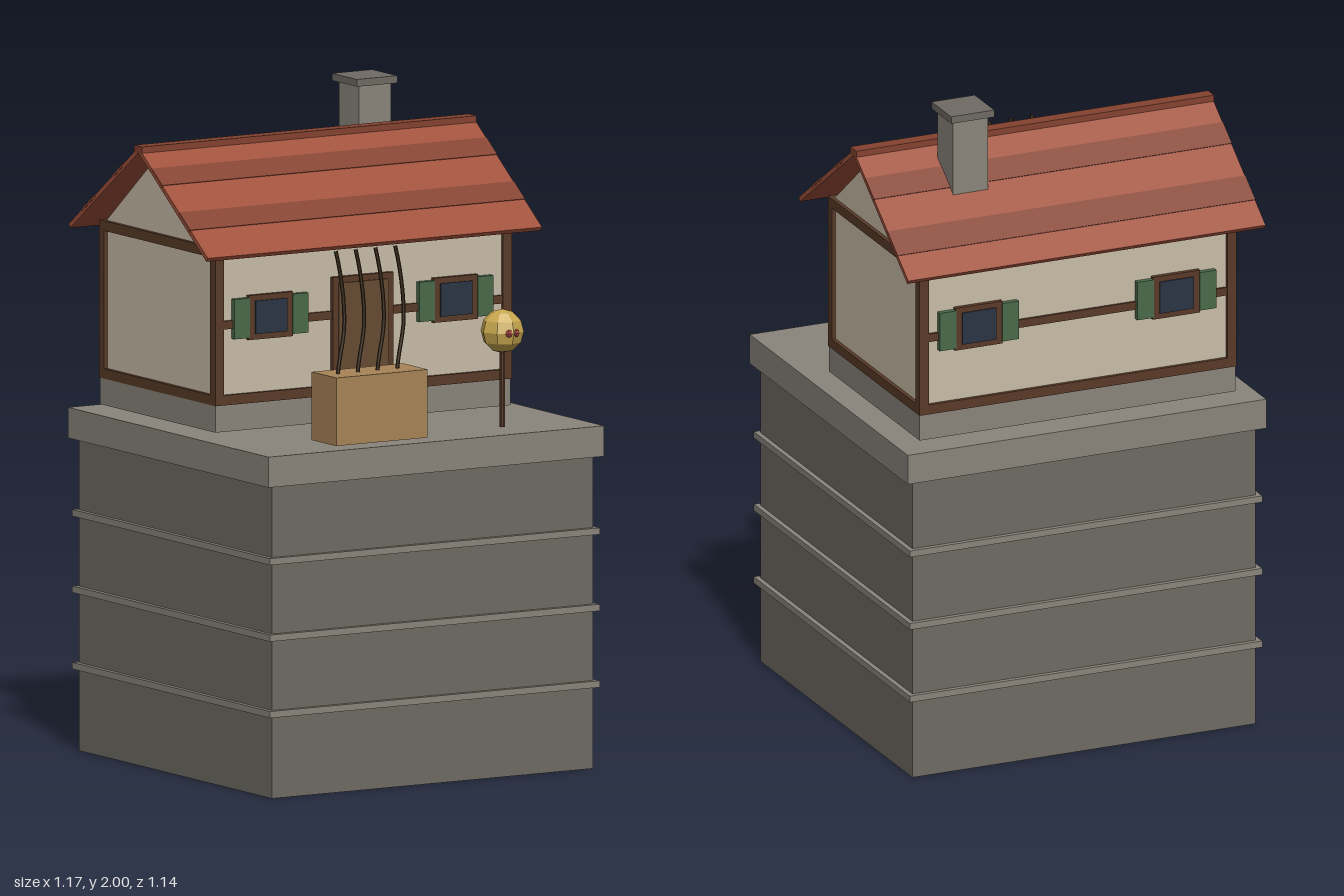
import * as THREE from 'three';

const mats = {};
const mat = (c) => (mats[c] ??= new THREE.MeshStandardMaterial({ color: c, flatShading: true }));

const STONE = 0x6f6b64, TRIM = 0x8a857c, BEAM = 0x5a3a28, WALL = 0xc8bda8, DOOR = 0x664a32;
const TILE = 0xa0503a, TILE_DARK = 0x84422f, GREEN = 0x4a6a4a, GLASS = 0x2c3444;
const CRATE = 0xa88458, GOLD = 0xc8a850, RED = 0xb04a40, STICK = 0x40301f;

export function createModel() {
  const model = new THREE.Group();

  const add = (parent, name, geometry, color) => {
    const m = new THREE.Mesh(geometry, mat(color));
    m.name = name;
    parent.add(m);
    return m;
  };
  // Box given by its lower and upper limits on each axis
  const box = (parent, name, color, x0, x1, y0, y1, z0, z1) => {
    const m = add(parent, name, new THREE.BoxGeometry(x1 - x0, y1 - y0, z1 - z0), color);
    m.position.set((x0 + x1) / 2, (y0 + y1) / 2, (z0 + z1) / 2);
    return m;
  };
  const group = (parent, name) => {
    const g = new THREE.Group();
    g.name = name;
    parent.add(g);
    return g;
  };

  // Stone tower with three bands and a top slab
  const tower = group(model, 'tower');
  box(tower, 'towerBody', STONE, -0.56, 0.56, 0, 0.945, -0.548, 0.548);
  for (const y of [0.255, 0.485, 0.715])
    box(tower, 'towerBand', TRIM, -0.575, 0.575, y - 0.01, y + 0.01, -0.563, 0.563);
  box(tower, 'towerSlab', TRIM, -0.585, 0.585, 0.94, 1.032, -0.57, 0.57);

  // House, centred on its own ridge line
  const house = group(model, 'house');
  house.position.z = -0.174;
  box(house, 'plinth', TRIM, -0.515, 0.515, 1.045, 1.14, -0.327, 0.327);
  box(house, 'walls', WALL, -0.505, 0.505, 1.13, 1.595, -0.32, 0.32);

  // Gable prism running under the roof
  const tri = new THREE.Shape([
    new THREE.Vector2(-0.32, 1.59), new THREE.Vector2(0.32, 1.59), new THREE.Vector2(0, 1.845),
  ]);
  const gable = add(house, 'gable',
    new THREE.ExtrudeGeometry(tri, { depth: 1.01, bevelEnabled: false }), WALL);
  gable.rotation.y = Math.PI / 2;
  gable.position.x = -0.505;

  // Timber frame
  const frame = group(house, 'timberFrame');
  for (const s of [-1, 1]) {
    for (const t of [-1, 1]) {
      const post = box(frame, 'cornerPost', BEAM, -0.015, 0.015, 1.125, 1.6, -0.015, 0.015);
      post.position.x = s * 0.502;
      post.position.z = t * 0.316;
    }
    for (const [y0, y1] of [[1.125, 1.155], [1.57, 1.6]]) {
      box(frame, 'longBeam', BEAM, -0.515, 0.515, y0, y1, s * 0.316 - 0.015, s * 0.316 + 0.015);
      box(frame, 'sideBeam', BEAM, s * 0.502 - 0.015, s * 0.502 + 0.015, y0, y1, -0.33, 0.33);
    }
    box(frame, 'middleBeam', BEAM, -0.505, 0.505, 1.353, 1.378, s * 0.316 - 0.012, s * 0.316 + 0.012);
  }

  // Shuttered windows on the front and back
  for (const turn of [0, Math.PI]) {
    const side = group(house, turn ? 'backWindows' : 'frontWindows');
    side.rotation.y = turn;
    for (const x of [-0.325, 0.32]) {
      const w = group(side, 'window');
      w.position.set(x, 1.382, 0.32);
      box(w, 'windowFrame', BEAM, -0.077, 0.077, -0.067, 0.067, -0.01, 0.014);
      box(w, 'windowPane', GLASS, -0.055, 0.055, -0.05, 0.05, 0, 0.018);
      for (const s of [-1, 1])
        box(w, 'shutter', GREEN, s * 0.102 - 0.027, s * 0.102 + 0.027, -0.06, 0.06, -0.01, 0.017);
    }
  }

  // Door with frame
  const door = group(house, 'door');
  box(door, 'doorFrame', BEAM, -0.108, 0.102, 1.115, 1.48, 0.3, 0.334);
  box(door, 'doorPanel', DOOR, -0.09, 0.084, 1.115, 1.462, 0.3, 0.339);

  // Roof: two sloping slabs with darker tile rows, and a ridge cap
  const roof = group(house, 'roof');
  const slope = Math.atan2(0.28, 0.392), k = 1 / Math.cos(slope);
  const rows = { 1: [[0.074, 0.134], [0.23, 0.293]], '-1': [[0.082, 0.146], [0.243, 0.316]] };
  for (const s of [1, -1]) {
    const half = group(roof, s > 0 ? 'frontRoof' : 'backRoof');
    half.position.y = 1.859;
    half.rotation.x = s * slope;
    const zBox = (name, color, a, b, y0, y1, hx) =>
      box(half, name, color, -hx, hx, y0, y1, Math.min(s * a, s * b) * k, Math.max(s * a, s * b) * k);
    zBox('roofSlab', TILE, 0, 0.392, -0.008, 0.006, 0.583);
    for (const [a, b] of rows[s]) zBox('tileRow', TILE_DARK, a, b, 0, 0.008, 0.584);
  }
  box(roof, 'ridgeCap', TILE_DARK, -0.584, 0.584, 1.848, 1.87, -0.022, 0.022);

  // Chimney
  const chimney = group(model, 'chimney');
  box(chimney, 'chimneyStack', TRIM, 0.222, 0.335, 1.69, 1.98, -0.345, -0.232);
  box(chimney, 'chimneyCap', STONE, 0.209, 0.35, 1.978, 2, -0.364, -0.222);

  // Crate with curved sticks
  const crate = group(model, 'crate');
  box(crate, 'crateBox', CRATE, -0.345, -0.026, 1.045, 1.25, 0.424, 0.564);
  for (let i = 0; i < 4; i++) {
    const x = -0.3 + i * 0.069;
    const path = new THREE.CatmullRomCurve3(
      [[0, 1.2], [0.006, 1.27], [0.025, 1.38], [0.024, 1.46], [0.01, 1.56], [-0.004, 1.62]]
        .map(([dx, y]) => new THREE.Vector3(x + dx, y, 0.494)));
    add(crate, 'stick', new THREE.TubeGeometry(path, 12, 0.006, 6), STICK);
  }

  // Faceted lantern on a pole
  const lantern = group(model, 'lantern');
  lantern.position.set(0.272, 0, 0.502);
  const pole = add(lantern, 'pole', new THREE.CylinderGeometry(0.008, 0.008, 0.24, 8), BEAM);
  pole.position.y = 1.165;
  const globe = add(lantern, 'globe', new THREE.SphereGeometry(0.066, 8, 6), GOLD);
  globe.position.y = 1.334;
  for (const s of [-1, 1]) {
    const spot = add(lantern, 'spot', new THREE.SphereGeometry(0.012, 6, 4), RED);
    spot.position.set(s * 0.012, 1.334, 0.058);
  }

  return model;
}
